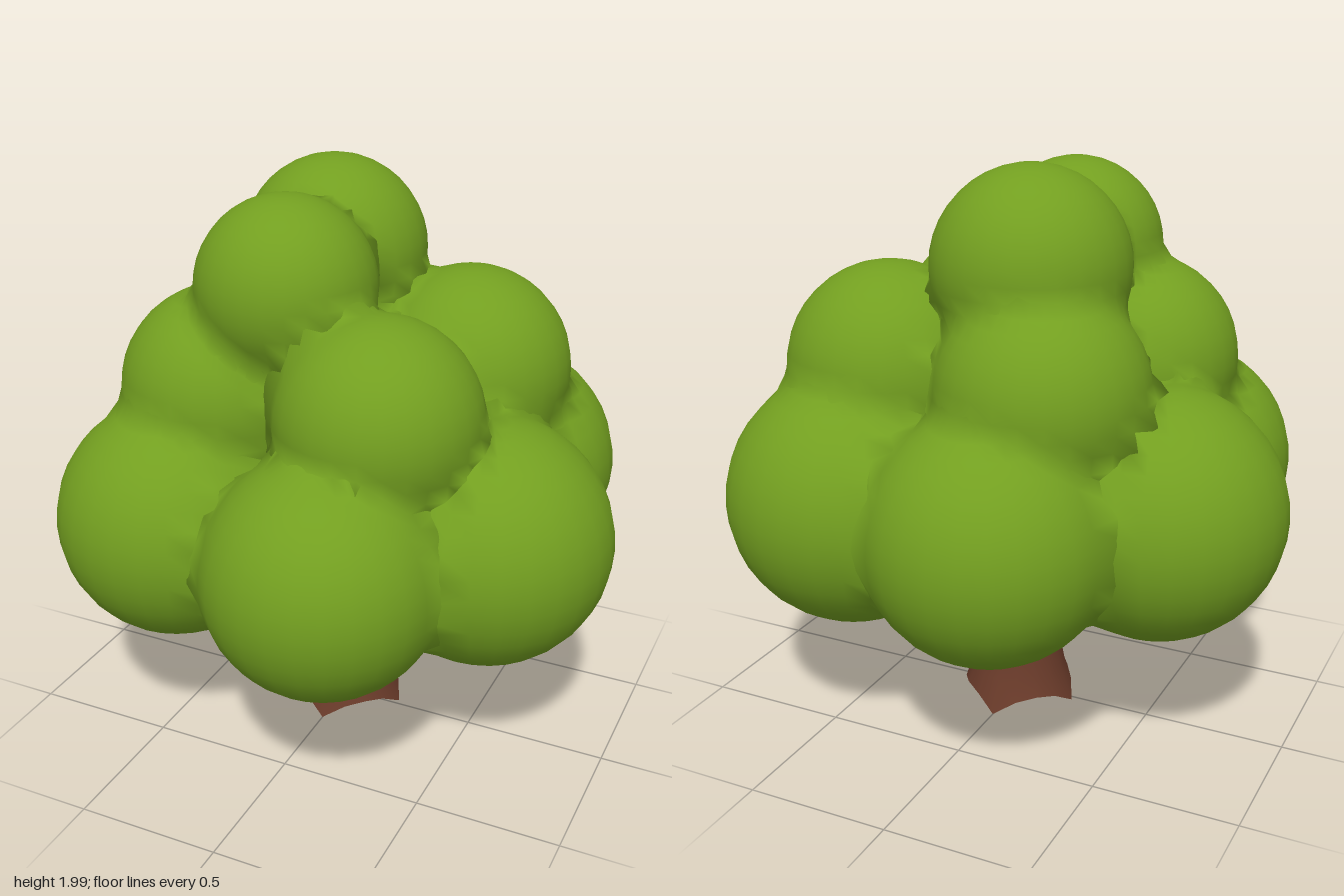
import * as THREE from 'three';

// Leaf clumps: x, y, z, radius
const LOWER = [
  [0.19, 0.85, 0.57, 0.40], [-0.43, 0.86, 0.42, 0.41], [-0.575, 0.87, -0.16, 0.425],
  [-0.16, 0.86, -0.565, 0.415], [0.40, 0.87, -0.46, 0.43], [0.58, 0.86, 0.14, 0.42],
];
const MIDDLE = [
  [0.27, 1.30, 0.33, 0.34], [-0.345, 1.28, 0.225, 0.345],
  [-0.25, 1.29, -0.37, 0.35], [0.35, 1.29, -0.28, 0.35],
];
const UPPER = [[-0.15, 1.66, -0.24, 0.325], [-0.115, 1.65, 0.20, 0.30]];
const CORE = [[0, 0.95, 0, 0.36], [-0.02, 1.3, -0.03, 0.26]];
const CLUMPS = [...LOWER, ...MIDDLE, ...UPPER, ...CORE];

// Blended distance to the whole crown, with soft valleys between clumps
function field(p) {
  const k = 0.06;
  let d = Infinity;
  for (const [x, y, z, r] of CLUMPS) {
    const e = Math.hypot(p.x - x, p.y - y, p.z - z) - r;
    if (d === Infinity) { d = e; continue; }
    const h = Math.max(k - Math.abs(d - e), 0) / k;
    d = Math.min(d, e) - h * h * k * 0.25;
  }
  return d;
}

// A ball whose surface swells to meet its neighbours
function clump([x, y, z, r], name, material) {
  const geo = new THREE.SphereGeometry(1, 28, 20);
  const pos = geo.attributes.position, nor = geo.attributes.normal;
  const c = new THREE.Vector3(x, y, z), dir = new THREE.Vector3();
  const p = new THREE.Vector3(), n = new THREE.Vector3(), q = new THREE.Vector3();
  const e = 0.004;
  for (let i = 0; i < pos.count; i++) {
    dir.fromBufferAttribute(pos, i).normalize();
    let t = r;
    for (let s = 0; s < 8; s++) {
      p.copy(c).addScaledVector(dir, t);
      t = Math.min(t + Math.max(-field(p), 0), r + 0.05);
    }
    p.copy(c).addScaledVector(dir, t);
    pos.setXYZ(i, p.x, p.y, p.z);
    // Shading normal follows the blended surface
    ['x', 'y', 'z'].forEach((a) => {
      q.copy(p); q[a] += e;
      const f1 = field(q);
      q[a] -= 2 * e;
      n[a] = f1 - field(q);
    });
    n.normalize();
    if (n.dot(dir) < 0.2) n.copy(dir);
    nor.setXYZ(i, n.x, n.y, n.z);
  }
  const mesh = new THREE.Mesh(geo, material);
  mesh.name = name;
  return mesh;
}

// Flared trunk with four pointed root tips at its open foot
function makeTrunk(material) {
  const profile = [[0.195, 0.05], [0.172, 0.12], [0.153, 0.22], [0.141, 0.34], [0.13, 0.5], [0.125, 0.8]]
    .map(([r, y]) => new THREE.Vector2(r, y));
  const geo = new THREE.LatheGeometry(profile, 16);
  const pos = geo.attributes.position;
  for (let i = 0; i < pos.count; i += profile.length) {
    const side = Math.round(i / profile.length) % 4;
    if (side === 0) {
      pos.setXYZ(i, pos.getX(i) * 1.11, 0, pos.getZ(i) * 1.11);
    } else {
      pos.setY(i, side === 2 ? 0.06 : 0.045);
    }
  }
  geo.computeVertexNormals();
  // Match the normals where the lathe closes on itself
  const nor = geo.attributes.normal, last = pos.count - profile.length;
  for (let j = 0; j < profile.length; j++) {
    const n = new THREE.Vector3().fromBufferAttribute(nor, j)
      .add(new THREE.Vector3().fromBufferAttribute(nor, last + j)).normalize();
    nor.setXYZ(j, n.x, n.y, n.z);
    nor.setXYZ(last + j, n.x, n.y, n.z);
  }
  const mesh = new THREE.Mesh(geo, material);
  mesh.name = 'trunk';
  mesh.position.z = -0.02;
  return mesh;
}

export function createModel() {
  const tree = new THREE.Group();
  tree.name = 'tree';
  const leaf = new THREE.MeshStandardMaterial({ color: 0x739f20 });
  const bark = new THREE.MeshStandardMaterial({ color: 0x6a3b2a, side: THREE.DoubleSide });

  tree.add(makeTrunk(bark));

  // Crown tiers
  const tiers = { lowerFoliage: LOWER, middleFoliage: MIDDLE, upperFoliage: UPPER, innerFoliage: CORE };
  for (const [name, list] of Object.entries(tiers)) {
    const tier = new THREE.Group();
    tier.name = name;
    list.forEach((c, i) => tier.add(clump(c, `leafClump${i + 1}`, leaf)));
    tree.add(tier);
  }
  return tree;
}
